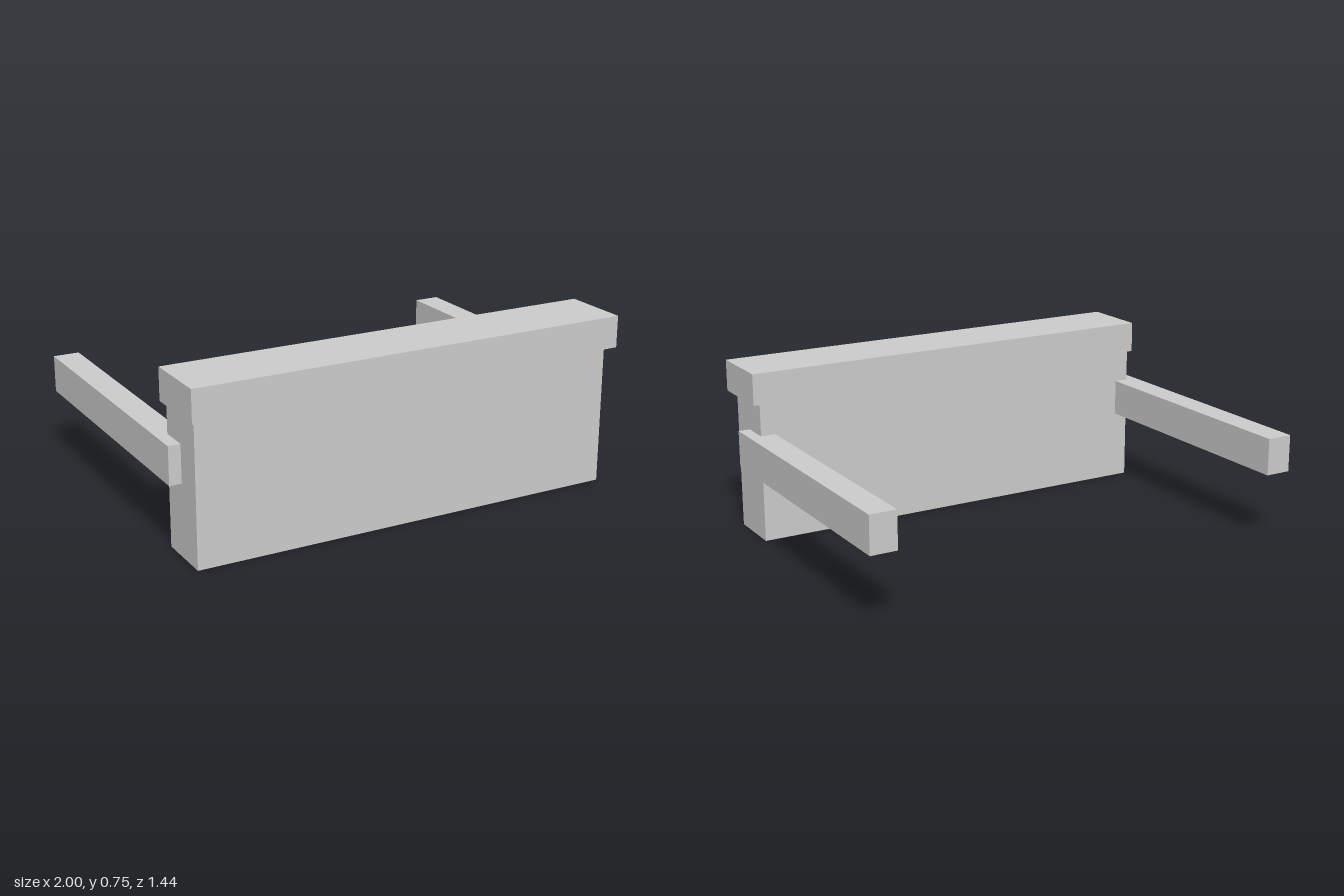
import * as THREE from 'three';

const material = new THREE.MeshStandardMaterial({ color: 0xcccccc, flatShading: true });

// Box spanning [min, max] on each axis
function block(name, [x0, x1], [y0, y1], [z0, z1]) {
  const mesh = new THREE.Mesh(new THREE.BoxGeometry(x1 - x0, y1 - y0, z1 - z0), material);
  mesh.position.set((x0 + x1) / 2, (y0 + y1) / 2, (z0 + z1) / 2);
  mesh.name = name;
  return mesh;
}

export function createModel() {
  const group = new THREE.Group();
  group.name = 'barrier';

  // Upright wall panel and the overhanging cap, flush at the back
  group.add(block('panel', [-0.948, 0.948], [0, 0.612], [0.42, 0.673]));
  group.add(block('cap', [-0.975, 0.975], [0.612, 0.75], [0.42, 0.72]));

  // Side beams let into the panel ends and reaching backwards
  group.add(block('leftBeam', [0.883, 1], [0.312, 0.474], [-0.72, 0.545]));
  group.add(block('rightBeam', [-1, -0.885], [0.312, 0.474], [-0.72, 0.545]));

  return group;
}
